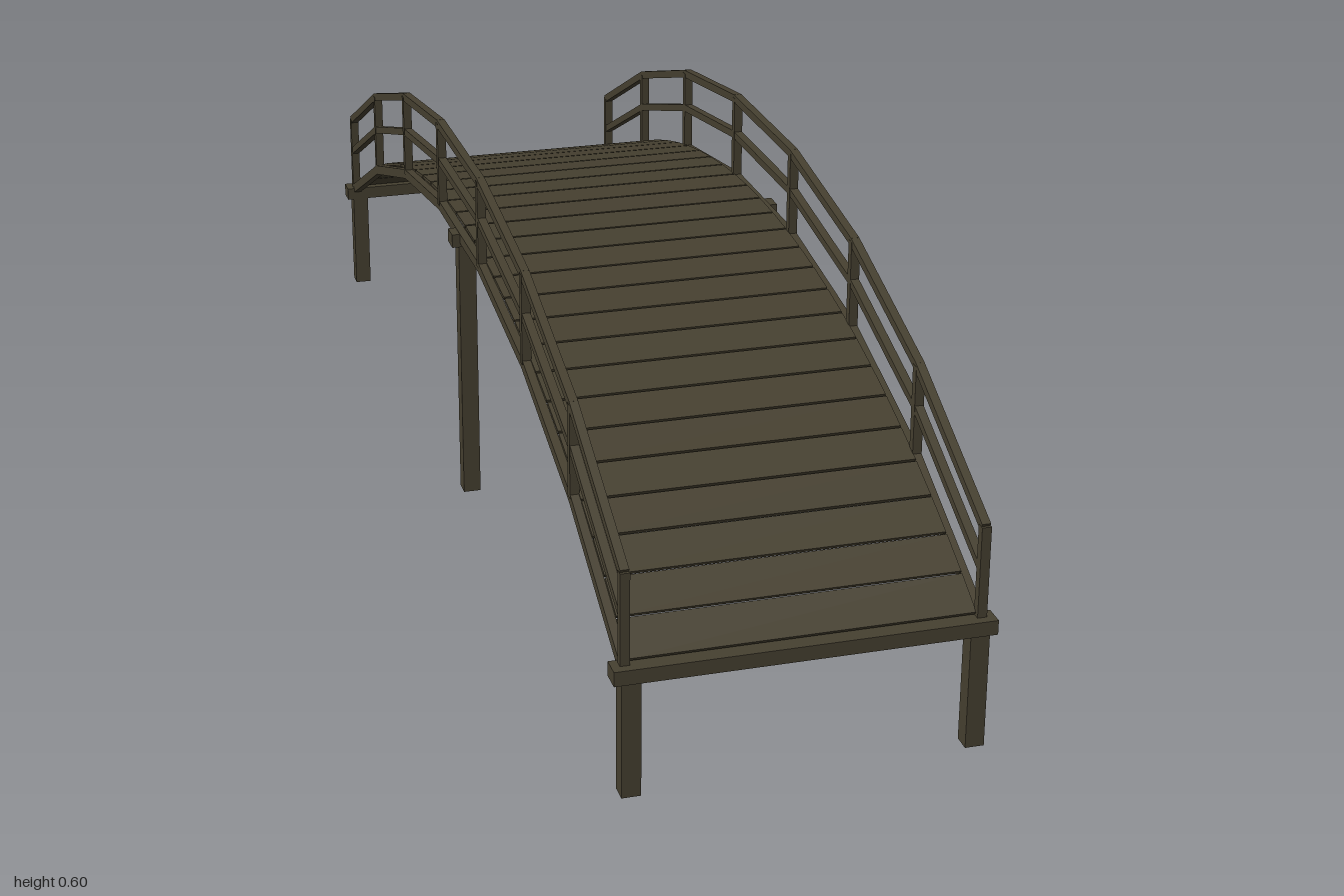
import * as THREE from 'three';

const R = 1.945;          // radius of the arch
const HALF = 0.528;       // half of its opening angle
const SPANS = 7;          // straight rail sections per side
const PLANKS = 30;

// Point on an arch whose crown is at the given height
const arch = (a, crown) => ({ z: R * Math.sin(a), y: crown - R * (1 - Math.cos(a)) });

export function createModel() {
  const wood = new THREE.MeshStandardMaterial({ color: 0x464030 });
  wood.name = 'dark weathered wood';
  const model = new THREE.Group();
  model.name = 'archedFootbridge';

  const box = (parent, name, w, h, d, x, y, z, tilt = 0) => {
    const mesh = new THREE.Mesh(new THREE.BoxGeometry(w, h, d), wood);
    mesh.name = name;
    mesh.position.set(x, y, z);
    mesh.rotation.x = tilt;
    parent.add(mesh);
  };

  // Deck planks, each tangent to the arch, with narrow gaps
  const deck = new THREE.Group();
  deck.name = 'deck';
  model.add(deck);
  const step = (2 * HALF) / PLANKS;
  for (let i = 0; i < PLANKS; i++) {
    const a = -HALF + (i + 0.5) * step;
    const p = arch(a, 0.4645);
    box(deck, 'plank', 0.498, 0.005, R * step - 0.004, 0, p.y, p.z, a);
  }

  // Stringers, railings and posts on both sides
  const bars = [
    { name: 'stringer', crown: 0.4575, h: 0.016 },
    { name: 'middleRail', crown: 0.5355, h: 0.012 },
    { name: 'topRail', crown: 0.599, h: 0.013 },
  ];
  for (const side of [-1, 1]) {
    const railing = new THREE.Group();
    railing.name = side > 0 ? 'leftRailing' : 'rightRailing';
    model.add(railing);
    const x = side * 0.255;
    for (let i = 0; i <= SPANS; i++) {
      const a = -HALF + (2 * HALF * i) / SPANS;
      const low = arch(a, 0.4575), high = arch(a, 0.6);
      box(railing, 'post', 0.014, high.y - low.y, 0.013, x, (low.y + high.y) / 2, low.z);
      if (i === SPANS) break;
      const b = a + (2 * HALF) / SPANS;
      for (const { name, crown, h } of bars) {
        const p = arch(a, crown), q = arch(b, crown);
        const dz = q.z - p.z, dy = q.y - p.y;
        box(railing, name, 0.013, h, Math.hypot(dz, dy) + 0.003,
          x, (p.y + q.y) / 2, (p.z + q.z) / 2, -Math.atan2(dy, dz));
      }
    }
  }

  // Trestles: a cross beam on two legs at each end and at the crown
  for (const [name, z, top] of [['front', 0.984, 0.197], ['middle', 0, 0.459], ['back', -0.984, 0.197]]) {
    const trestle = new THREE.Group();
    trestle.name = name + 'Trestle';
    model.add(trestle);
    box(trestle, 'crossBeam', 0.548, 0.022, 0.032, 0, top - 0.011, z);
    for (const side of [-1, 1]) {
      const h = top - 0.02;
      box(trestle, 'leg', 0.028, h, 0.027, side * 0.249, h / 2, z);
    }
  }
  return model;
}
